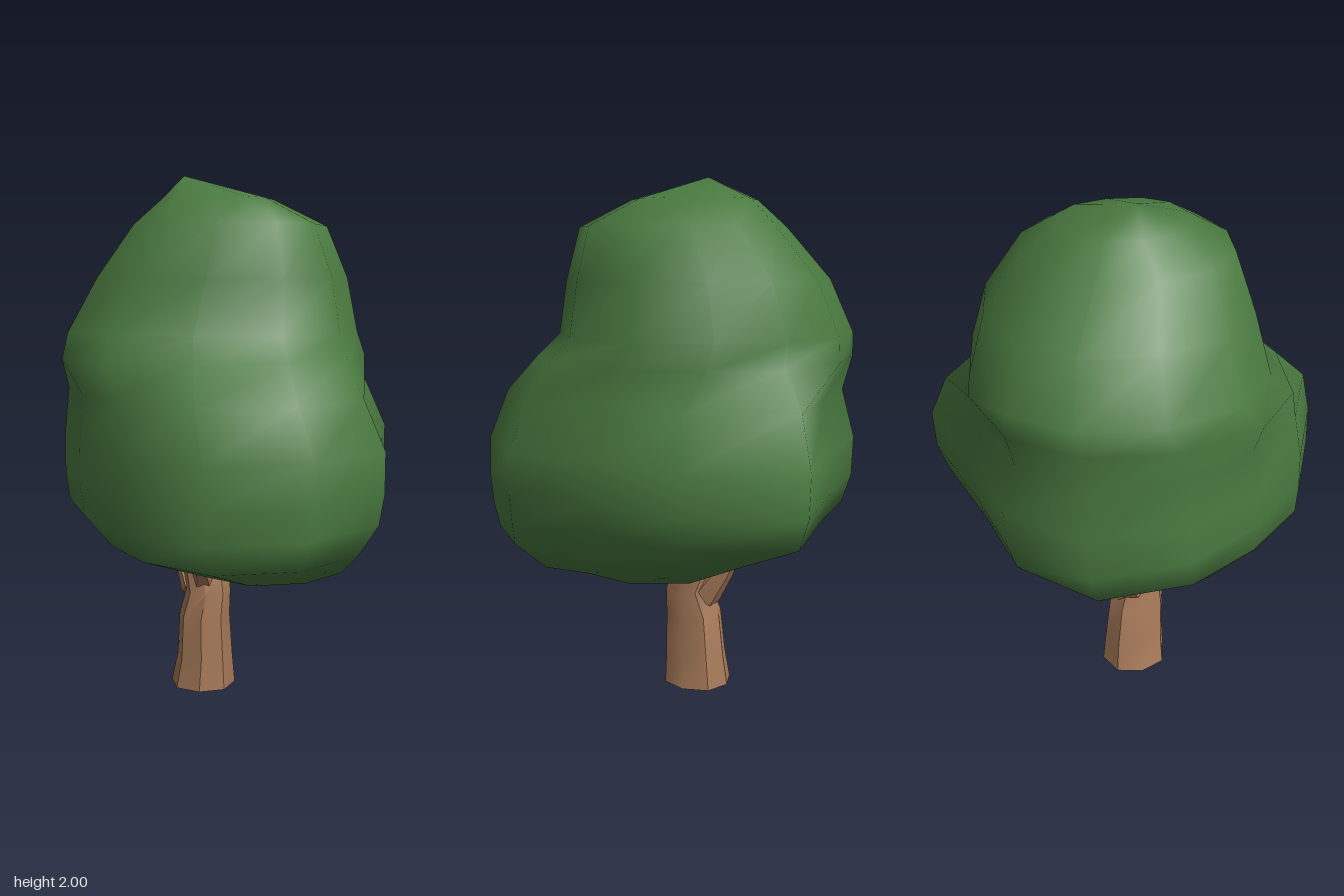
import * as THREE from 'three';
import { toCreasedNormals } from 'three/addons/utils/BufferGeometryUtils.js';

const leafMaterial = new THREE.MeshStandardMaterial({ color: 0x4a7a40 });
const barkMaterial = new THREE.MeshStandardMaterial({ color: 0xa87b5a });

// Skin over loops of points, closed at both ends by a fan to a centre point.
function skin(loops, bottom, top) {
  const n = loops[0].length, last = (loops.length - 1) * n;
  const points = [...loops.flat(), bottom, top];
  const b = points.length - 2, t = points.length - 1, index = [];
  for (let j = 0; j < n; j++) {
    const k = (j + 1) % n;
    for (let i = 0; i < last; i += n) {
      index.push(i + j, i + n + j, i + k, i + k, i + n + j, i + n + k);
    }
    index.push(b, j, k, t, last + k, last + j);
  }
  const geometry = new THREE.BufferGeometry().setFromPoints(points);
  geometry.setIndex(index);
  geometry.computeVertexNormals();
  return geometry;
}

// Scaled and shifted copy of an outline given as radii from +x towards +z.
function outlineLoop(radii, [y, scale, cx, cz]) {
  return radii.map((r, j) => {
    const a = (j / radii.length) * Math.PI * 2;
    return new THREE.Vector3(cx + Math.cos(a) * r * scale, y, cz + Math.sin(a) * r * scale);
  });
}

// Slightly squared oval between the given limits.
function ovalLoop([y, x0, x1, z0, z1], sides) {
  const soften = (v) => Math.sign(v) * Math.abs(v) ** 0.88;
  return Array.from({ length: sides }, (_, j) => {
    const a = (j / sides) * Math.PI * 2;
    return new THREE.Vector3(
      (x0 + x1) / 2 + soften(Math.cos(a)) * (x1 - x0) / 2, y,
      (z0 + z1) / 2 + soften(Math.sin(a)) * (z1 - z0) / 2);
  });
}

function mesh(name, geometry, material) {
  const m = new THREE.Mesh(geometry, material);
  m.name = name;
  return m;
}

// Tapered, bent branch from its root to its tip.
function branch(name, path, radius) {
  const curve = new THREE.CatmullRomCurve3(path.map((p) => new THREE.Vector3(...p)));
  const loops = [0, 0.35, 0.7, 0.95].map((t) => {
    const c = curve.getPoint(t), r = radius * (1 - 0.8 * t);
    const turn = new THREE.Quaternion().setFromUnitVectors(
      new THREE.Vector3(0, 1, 0), curve.getTangent(t));
    return ovalLoop([0, -r, r, -r, r], 6).map((p) => p.applyQuaternion(turn).add(c));
  });
  const geometry = skin(loops, curve.getPoint(0), curve.getPoint(1));
  return mesh(name, toCreasedNormals(geometry, 0.7), barkMaterial);
}

export function createModel() {
  const tree = new THREE.Group();
  tree.name = 'tree';

  // Foliage skirt: plan outline with a front lobe and a back left lobe
  const plan = [0.57, 0.69, 0.72, 0.725, 0.63, 0.58, 0.63, 0.71, 0.68, 0.64, 0.84, 0.725];
  const skirt = [
    [0.66, 0.3, 0, -0.02],
    [0.57, 0.52, 0.14, 0.12],
    [0.66, 0.8, 0.03, 0.12],
    [0.76, 0.97, 0, 0.015],
    [0.87, 1, 0, 0],
    [1.02, 1, 0, -0.005],
    [1.2, 0.92, -0.03, 0],
  ].map((ring) => outlineLoop(plan, ring));

  // Foliage crown: rounded, set back and to the right of the skirt
  const crown = [
    [1.33, -0.635, 0.53, -0.64, 0.53],
    [1.42, -0.63, 0.5, -0.63, 0.43],
    [1.62, -0.51, 0.46, -0.56, 0.39],
    [1.81, -0.36, 0.38, -0.41, 0.335],
    [1.91, -0.25, 0.18, -0.29, 0.17],
  ].map((ring) => ovalLoop(ring, plan.length));
  tree.add(mesh('foliage', skin([...skirt, ...crown], new THREE.Vector3(0, 0.68, -0.05),
    new THREE.Vector3(-0.16, 2, -0.05)), leafMaterial));

  // Trunk: flared foot, narrow waist, wider fork
  const trunkLoops = [
    [0.01, -0.22, 0.035, -0.18, 0.085],
    [0.13, -0.195, 0.025, -0.165, 0.08],
    [0.3, -0.185, 0.015, -0.145, 0.08],
    [0.4, -0.155, 0.02, -0.105, 0.07],
    [0.49, -0.17, 0.01, -0.14, 0.06],
  ].map((ring) => ovalLoop(ring, 8));
  const trunk = skin(trunkLoops, new THREE.Vector3(-0.09, 0, -0.05),
    new THREE.Vector3(-0.08, 0.53, -0.04));
  tree.add(mesh('trunk', toCreasedNormals(trunk, 0.7), barkMaterial));

  // Branches spreading into the foliage
  const branches = new THREE.Group();
  branches.name = 'branches';
  branches.add(
    branch('rightBranch', [[-0.12, 0.4, -0.06], [-0.19, 0.53, -0.13], [-0.3, 0.65, -0.24]], 0.065),
    branch('leftBranch', [[-0.05, 0.41, -0.04], [0, 0.52, -0.05], [0.08, 0.61, -0.05]], 0.055),
    branch('frontBranch', [[-0.08, 0.43, 0], [-0.08, 0.51, 0.08], [-0.09, 0.6, 0.22]], 0.055),
    branch('backBranch', [[-0.09, 0.38, -0.07], [-0.09, 0.53, -0.18], [-0.1, 0.7, -0.27]], 0.075),
  );
  tree.add(branches);
  return tree;
}
